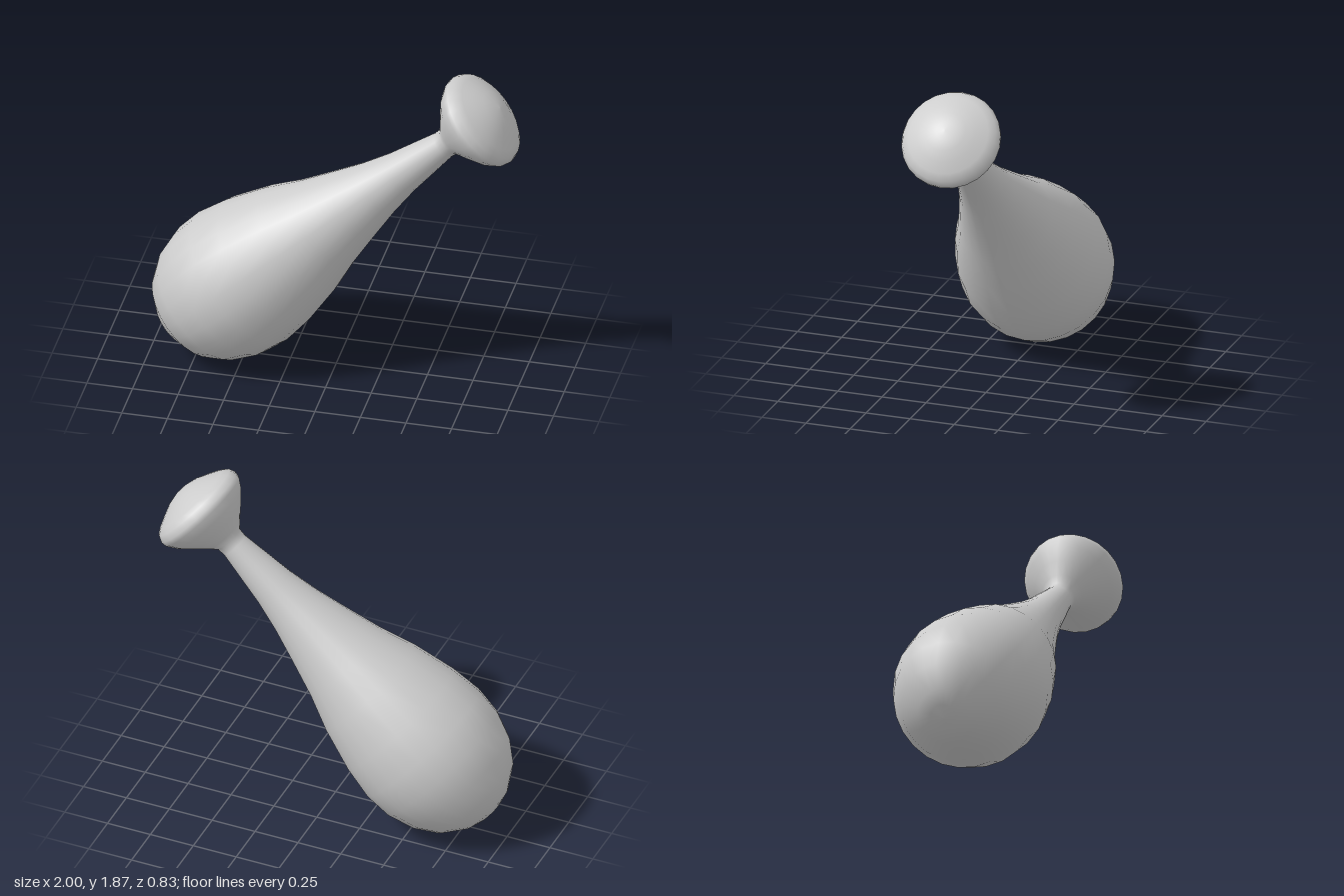
import * as THREE from 'three';

export function createModel() {
  const group = new THREE.Group();
  group.name = 'tiltedClub';

  // Profile along the axis as [radius, height], height 0 at the neck
  const profile = [
    // rounded heavy end
    [0, -2.03], [0.075, -2.025], [0.155, -2.0], [0.275, -1.915], [0.355, -1.8],
    [0.404, -1.655], [0.415, -1.505], [0.39, -1.325], [0.33, -1.09],
    // tapering handle
    [0.262, -0.9], [0.203, -0.69], [0.155, -0.51], [0.12, -0.34], [0.098, -0.18], [0.077, -0.03],
    // flared underside of the knob
    [0.08, 0.015], [0.112, 0.05], [0.175, 0.11], [0.237, 0.173],
    // rim and domed cap
    [0.27, 0.225], [0.274, 0.255], [0.258, 0.29], [0.222, 0.315],
    [0.165, 0.343], [0.11, 0.368], [0.05, 0.384], [0, 0.388],
  ].map(([r, y]) => new THREE.Vector2(r, y));

  const club = new THREE.Mesh(
    new THREE.LatheGeometry(profile, 24),
    new THREE.MeshStandardMaterial({ color: 0xcccccc })
  );
  club.name = 'clubWithKnob';

  // Lean the axis towards +x
  club.rotation.z = -THREE.MathUtils.degToRad(48.2);
  club.position.set(0.61, 1.49, 0);
  group.add(club);
  return group;
}
